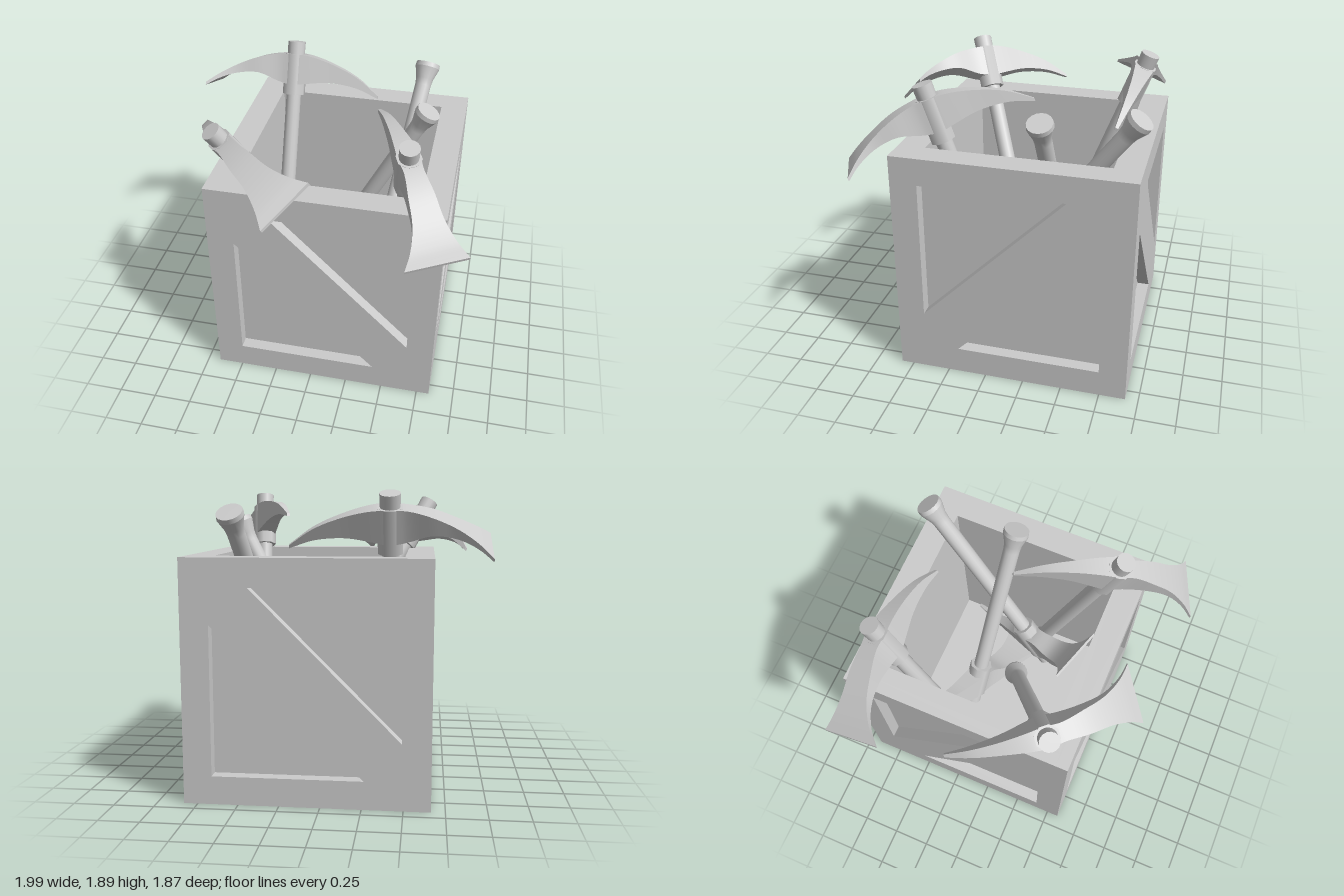
import * as THREE from 'three';

const material = new THREE.MeshStandardMaterial({ color: 0xcccccc });

function add(parent, name, geometry) {
  const mesh = new THREE.Mesh(geometry, material);
  mesh.name = name;
  parent.add(mesh);
  return mesh;
}

// ---- Crate ----
const HALF = 0.75, DEPTH = 0.08, INNER = 0.575, CORE = HALF - DEPTH;

function squarePath(PathType, w, h) {
  return new PathType([[-w, -h], [w, -h], [w, h], [-w, h]].map(p => new THREE.Vector2(...p)));
}

// Frame with a diagonal brace: a plate with two triangular openings
function braceFrame(w, h, mirror) {
  const shape = squarePath(THREE.Shape, w, h);
  const s = mirror ? -1 : 1;
  const near = -0.34, far = 0.35;
  for (const tri of [
    [[-INNER, far], [-INNER, -INNER], [far, -INNER]],
    [[near, INNER], [INNER, INNER], [INNER, near]],
  ]) shape.holes.push(new THREE.Path(tri.map(([x, y]) => new THREE.Vector2(x * s, y))));
  const geo = new THREE.ExtrudeGeometry(shape, { depth: DEPTH, bevelEnabled: false });
  return geo.translate(0, 0, CORE);
}

function createCrate() {
  const crate = new THREE.Group();
  crate.name = 'crate';
  add(crate, 'frontFrame', braceFrame(HALF, HALF, false));
  add(crate, 'backFrame', braceFrame(HALF, HALF, false)).rotation.y = Math.PI;
  add(crate, 'leftFrame', braceFrame(CORE, HALF, true)).rotation.y = Math.PI / 2;
  add(crate, 'rightFrame', braceFrame(CORE, HALF, true)).rotation.y = -Math.PI / 2;
  add(crate, 'bottomFrame', braceFrame(CORE, CORE, true)).rotation.x = Math.PI / 2;

  // Panels behind the frames, open at the top
  const ring = squarePath(THREE.Shape, CORE, CORE);
  ring.holes.push(squarePath(THREE.Path, INNER, INNER));
  const walls = new THREE.ExtrudeGeometry(ring, { depth: HALF + CORE, bevelEnabled: false });
  add(crate, 'wallPanels', walls.rotateX(-Math.PI / 2).translate(0, -CORE, 0));
  const thick = CORE - INNER;
  add(crate, 'floorPanel', new THREE.BoxGeometry(2 * INNER, thick, 2 * INNER)
    .translate(0, -CORE + thick / 2, 0));
  crate.position.set(0.085, HALF, -0.168);
  return crate;
}

// ---- Pickaxe: origin at the top of the cap, handle down -y, blade towards +x ----
const LENGTH = 1.6;

// Head sections from spike tip to blade edge: x, top, bottom, half width
const SECTIONS = [
  [-0.61, -0.325, -0.345, 0.01], [-0.45, -0.21, -0.285, 0.025], [-0.26, -0.13, -0.265, 0.042],
  [-0.1, -0.09, -0.285, 0.06], [0, -0.085, -0.3, 0.068], [0.1, -0.09, -0.285, 0.06],
  [0.25, -0.125, -0.235, 0.078], [0.4, -0.19, -0.25, 0.095], [0.52, -0.262, -0.295, 0.14],
  [0.6, -0.325, -0.345, 0.195],
];

function headGeometry() {
  const spine = new THREE.CatmullRomCurve3(SECTIONS.map(([x, t, b]) => new THREE.Vector3(x, t, b)));
  const width = new THREE.CatmullRomCurve3(SECTIONS.map(([x, , , w]) => new THREE.Vector3(x, w, 0)));
  const N = 36, pos = [], idx = [];
  const rings = [];
  for (let i = 0; i <= N; i++) {
    const { x, y: top, z: bot } = spine.getPoint(i / N);
    const w = width.getPoint(i / N).y;
    rings.push([[x, top, w], [x, top, -w], [x, bot, -w], [x, bot, w]]);
  }
  // Each side is its own strip, so the edges stay sharp
  for (let side = 0; side < 4; side++) {
    const start = pos.length / 3;
    for (const r of rings) pos.push(...r[side], ...r[(side + 1) % 4]);
    for (let i = 0; i < N; i++) {
      const a = start + i * 2;
      idx.push(a, a + 2, a + 1, a + 1, a + 2, a + 3);
    }
  }
  // End caps
  [rings[0], rings[N]].forEach((r, end) => {
    const a = pos.length / 3;
    pos.push(...r.flat());
    idx.push(...(end ? [a, a + 2, a + 1, a, a + 3, a + 2] : [a, a + 1, a + 2, a, a + 2, a + 3]));
  });
  const geo = new THREE.BufferGeometry();
  geo.setAttribute('position', new THREE.Float32BufferAttribute(pos, 3));
  geo.setIndex(idx);
  geo.computeVertexNormals();
  return geo;
}

function createPickaxe(name, capTop, up, blade) {
  const pick = new THREE.Group();
  pick.name = name;
  add(pick, 'head', headGeometry());
  add(pick, 'cap', new THREE.CylinderGeometry(0.063, 0.06, 0.12, 16).translate(0, -0.06, 0));
  const collar = new THREE.CylinderGeometry(0.08, 0.08, 0.285, 8).rotateY(Math.PI / 8);
  add(pick, 'collar', collar.translate(0, -0.2275, 0));
  // Handle with a flared butt
  const profile = [[0.052, -0.1], [0.055, -LENGTH + 0.16], [0.06, -LENGTH + 0.11],
    [0.085, -LENGTH + 0.03]].map(p => new THREE.Vector2(...p)).reverse();
  add(pick, 'handle', new THREE.LatheGeometry(profile, 16));
  add(pick, 'butt', new THREE.CylinderGeometry(0.085, 0.082, 0.03, 16)
    .translate(0, -LENGTH + 0.015, 0));

  // Orient by the handle's upward axis and the blade direction
  const y = new THREE.Vector3(...up).normalize();
  const z = new THREE.Vector3(...blade).cross(y).normalize();
  const x = new THREE.Vector3().crossVectors(y, z);
  pick.quaternion.setFromRotationMatrix(new THREE.Matrix4().makeBasis(x, y, z));
  pick.position.set(...capTop);
  return pick;
}

export function createModel() {
  const model = new THREE.Group();
  model.name = 'crateOfPickaxes';
  model.add(createCrate());
  const picks = [
    // name, top of cap, axis towards cap, blade direction
    ['frontRightPickaxe', [-0.628, 1.83, 0.44], [-0.465, 0.82, 0.334], [0.65, 0.06, 0.756]],
    ['backRightPickaxe', [-0.4, 1.87, -0.8], [0, 0.934, -0.355], [-1, 0, 0]],
    ['frontLeftPickaxe', [0.575, 1.873, 0.443], [0.046, 0.95, 0.316], [0.428, -0.304, 0.851]],
    ['backLeftUpturnedPickaxe', [0.34, 0.48, 0.066], [-0.12, -0.8, 0.585], [-0.31, 0.59, 0.746]],
    ['middleUpturnedPickaxe', [-0.126, 0.29, -0.354], [-0.46, -0.888, -0.04], [0.83, -0.45, 0.32]],
  ];
  for (const p of picks) model.add(createPickaxe(...p));
  return model;
}
